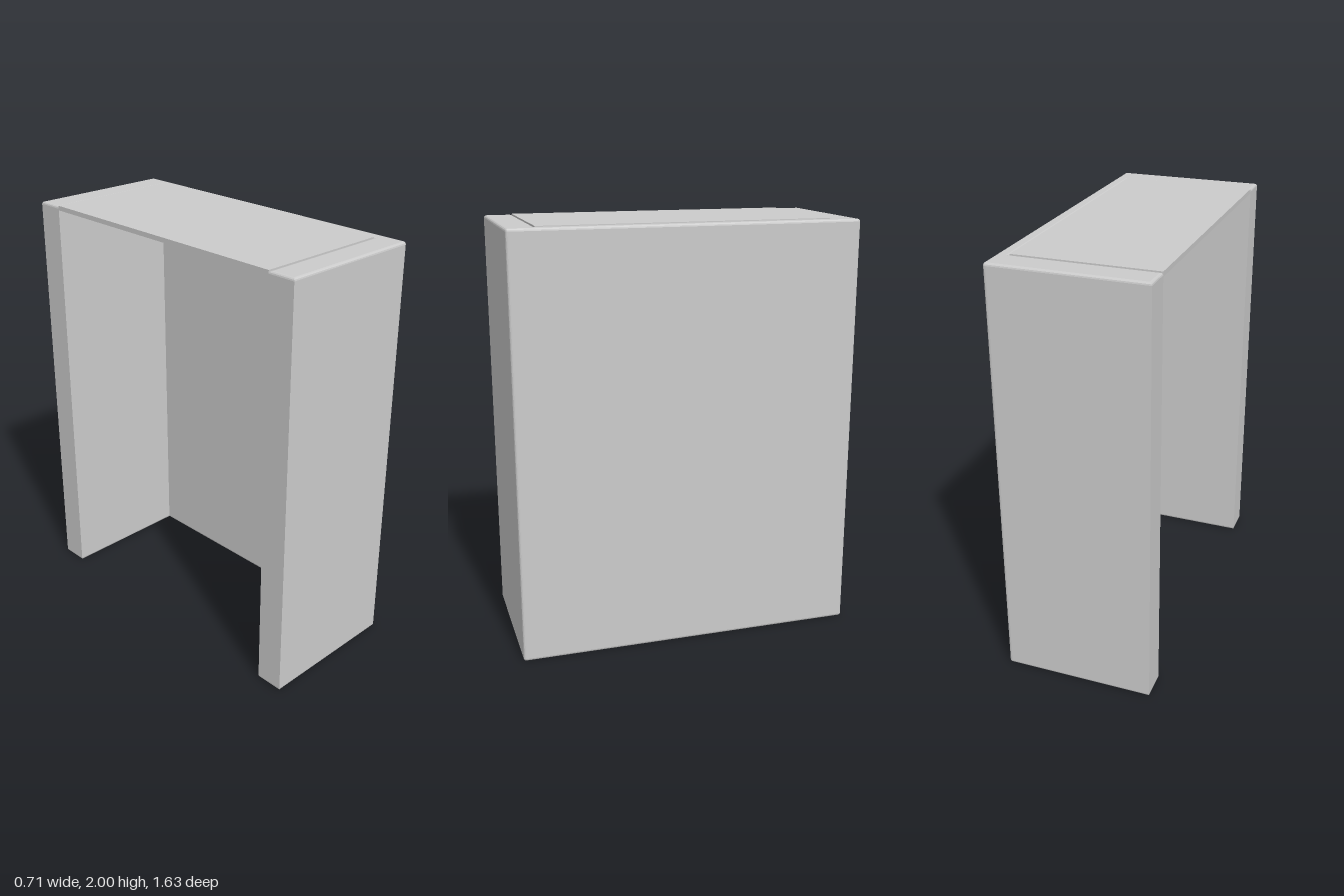
import * as THREE from 'three';

export function createModel() {
  const group = new THREE.Group();
  const material = new THREE.MeshStandardMaterial({ color: 0xcccccc });
  const X = 0.355, Z = 0.813; // outer half sizes
  const innerX = 0.298, innerZ = 0.68; // inside faces of the shell
  const height = 1.997, bevel = 0.012, r = 0.015;

  // U-shaped shell: two thick ends joined by a thinner wall, open towards -x
  const outline = new THREE.Shape();
  outline.moveTo(-X, -Z);
  outline.lineTo(X - r, -Z);
  outline.quadraticCurveTo(X, -Z, X, -Z + r);
  outline.lineTo(X, Z - r);
  outline.quadraticCurveTo(X, Z, X - r, Z);
  outline.lineTo(-X, Z);
  outline.lineTo(-X, innerZ);
  outline.lineTo(innerX, innerZ);
  outline.lineTo(innerX, -innerZ);
  outline.lineTo(-X, -innerZ);
  outline.closePath();

  const shellGeometry = new THREE.ExtrudeGeometry(outline, {
    depth: height - 2 * bevel,
    bevelEnabled: true,
    bevelThickness: bevel,
    bevelSize: bevel,
    bevelOffset: -bevel,
    bevelSegments: 3,
    curveSegments: 4,
  });
  shellGeometry.rotateX(-Math.PI / 2).translate(0, bevel, 0);
  const shell = new THREE.Mesh(shellGeometry, material);
  shell.name = 'shell';
  group.add(shell);

  // Thin lid set between the ends, a hair above the rim
  const thickness = 0.022;
  const lid = new THREE.Mesh(
    new THREE.BoxGeometry(innerX + X, thickness, 2 * innerZ),
    material
  );
  lid.name = 'topPanel';
  lid.position.set((innerX - X) / 2, 2 - thickness / 2, 0);
  group.add(lid);

  return group;
}
